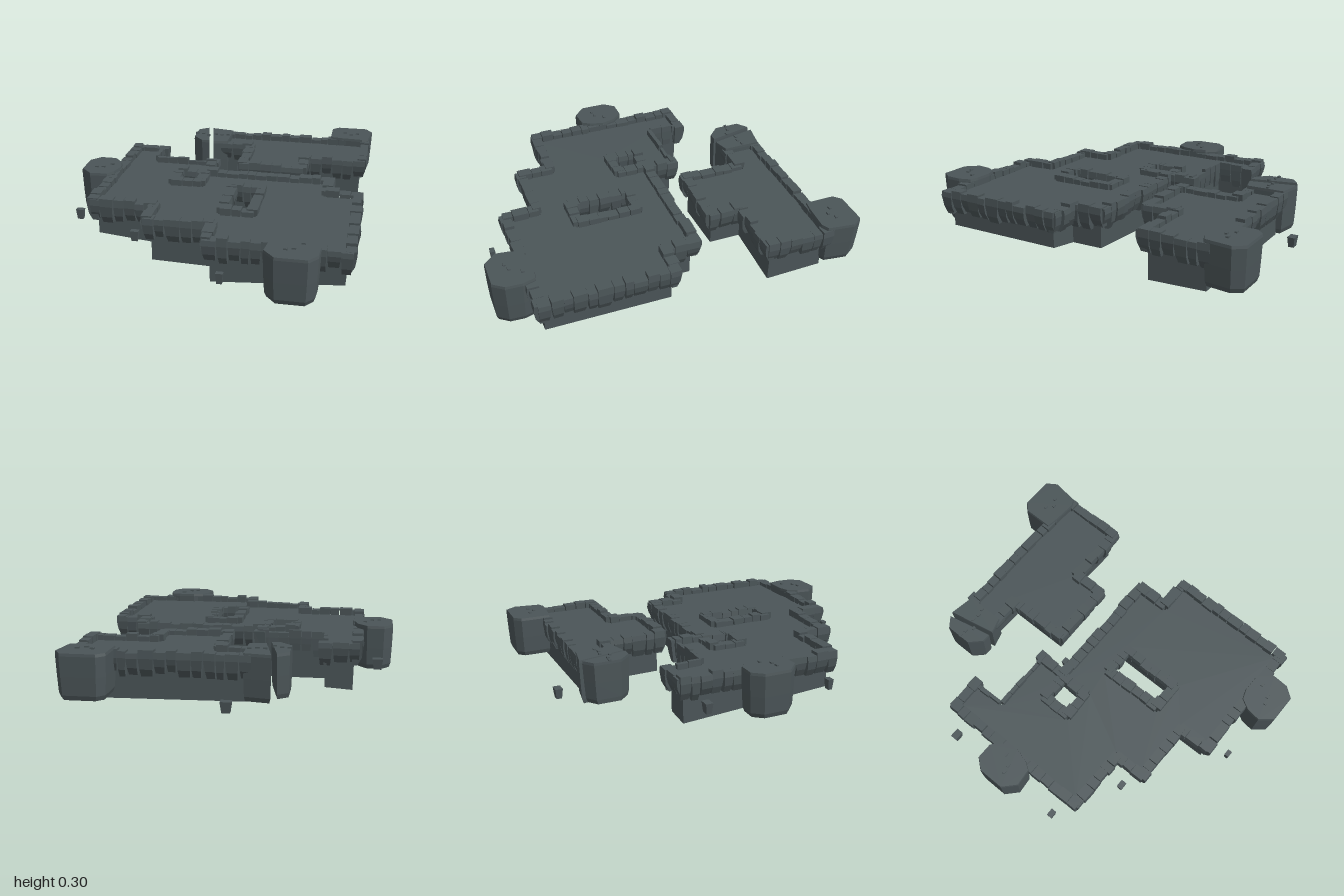
import * as THREE from 'three';

const FLOOR = 0.24;
const stone = new THREE.MeshStandardMaterial({ color: 0x4b5558 });
stone.name = 'slate stone';

// small seeded generator for stone irregularity
let seed = 11;
const rand = (a, b) => {
  seed = (seed * 16807) % 2147483647;
  return a + (b - a) * (seed / 2147483647);
};

const add = (parent, geometry, name) => {
  geometry.computeVertexNormals();
  const mesh = new THREE.Mesh(geometry, stone);
  mesh.name = name;
  parent.add(mesh);
  return mesh;
};

// move every vertex of a geometry by a rule
const warp = (geometry, rule) => {
  const p = geometry.attributes.position;
  const v = new THREE.Vector3();
  for (let i = 0; i < p.count; i++) {
    rule(v.fromBufferAttribute(p, i));
    p.setXYZ(i, v.x, v.y, v.z);
  }
  return geometry;
};

// upright prism from [x, z] points
const prism = (points, holes, depth, steps) => {
  const to2 = (list) => list.map(([x, z]) => new THREE.Vector2(x, -z));
  const shape = new THREE.Shape(to2(points));
  shape.holes = holes.map((h) => new THREE.Path(to2(h)));
  return new THREE.ExtrudeGeometry(shape, { depth, steps, bevelEnabled: false }).rotateX(-Math.PI / 2);
};

// floor slab whose underside height is the third value of each corner
function slab(parent, outline, holes, name) {
  const corners = [outline, ...holes].flat();
  const g = warp(prism(outline, holes, FLOOR, 1), (v) => {
    if (v.y > 0.01) return;
    const c = corners.find(([x, z]) => Math.hypot(x - v.x, z - v.z) < 0.002);
    v.y = c ? c[2] : 0;
  });
  add(parent, g, name);
}

// one hanging edge stone: thick cap, tapering downwards
function edgeStone(parent, width, depth) {
  const top = rand(0.262, 0.282);
  const low = rand(0.13, 0.165);
  const d = depth * rand(0.85, 1.12);
  const back = -rand(0.004, 0.014);
  const s = new THREE.Shape([
    [back, low], [d * 0.45, low], [d * 0.85, low + 0.04], [d, 0.235], [d * 0.93, top], [back, top],
  ].map(([x, y]) => new THREE.Vector2(x, y)));
  const g = new THREE.ExtrudeGeometry(s, { depth: width, bevelEnabled: false });
  g.translate(0, 0, -width / 2);
  const lean = rand(-0.06, 0.06);
  warp(g, (v) => {
    const drop = Math.max(0, 0.235 - v.y);
    v.z = v.z * (1 - drop * 2.6) + drop * lean;
  });
  return add(parent, g, 'edgeStone');
}

// row of edge stones along a closed outline; depths can be set per edge
function rim(parent, outline, depths, name) {
  const group = new THREE.Group();
  group.name = name;
  const n = outline.length;
  const up = new THREE.Vector3(0, 1, 0);
  const dir = (i) => {
    const a = outline[(i + n) % n], b = outline[(i + 1) % n];
    return new THREE.Vector3(b[0] - a[0], 0, b[1] - a[1]);
  };
  for (let i = 0; i < n; i++) {
    const depth = depths[i] ?? 0.05;
    if (!depth) continue;
    const t = dir(i), len = t.length();
    t.normalize();
    const out = new THREE.Vector3(t.z, 0, -t.x);
    // outer corners are overlapped by the end stones
    const convex = (a, b) => a.x * b.z - a.z * b.x > 0;
    const from = convex(dir(i - 1), t) ? -0.035 : 0.01;
    const to = len + (convex(t, dir(i + 1)) ? 0.035 : -0.01);
    const count = Math.max(1, Math.round((to - from) / 0.064));
    const cuts = [from];
    for (let k = 1; k < count; k++) cuts.push(from + ((to - from) * (k + rand(-0.2, 0.2))) / count);
    cuts.push(to);
    for (let k = 0; k < count; k++) {
      const m = edgeStone(group, cuts[k + 1] - cuts[k] - rand(0.001, 0.005), depth);
      const at = (cuts[k] + cuts[k + 1]) / 2;
      const pos = new THREE.Vector3(outline[i][0], 0, outline[i][1]).addScaledVector(t, at);
      m.applyMatrix4(new THREE.Matrix4().makeBasis(out, up, t).setPosition(pos));
      m.rotateY(rand(-0.04, 0.04));
    }
  }
  parent.add(group);
}

// faceted buttress with slight taper and chamfered head
function buttress(parent, points, y0, y1, name) {
  const cx = points.reduce((s, p) => s + p[0], 0) / points.length;
  const cz = points.reduce((s, p) => s + p[1], 0) / points.length;
  const levels = [[y0, 0.86], [y0 + 0.025, 0.93], [y0 + 0.12, 0.97], [y1 - 0.015, 1], [y1, 0.98]];
  const g = warp(prism(points, [], 4, 4), (v) => {
    const [y, s] = levels[Math.round(v.y)];
    v.set(cx + (v.x - cx) * s, y, cz + (v.z - cz) * s);
  });
  add(parent, g, name);
  // small chips on the head
  for (let k = -1; k <= 1; k++) {
    const chip = add(parent, new THREE.BoxGeometry(0.022, 0.012, 0.014), 'headChip');
    chip.position.set(cx + k * 0.04, y1 + 0.002, cz + rand(-0.04, 0.04));
  }
}

const ring = (x0, x1, z0, z1, y) => [[x0, z0, y], [x0, z1, y], [x1, z1, y], [x1, z0, y]];

export function createModel() {
  const model = new THREE.Group();
  model.name = 'ruinedPlatform';

  // large platform with two openings
  const large = [
    [-0.625, -0.435, 0], [-0.475, -0.435, 0.01], [-0.475, -0.255, 0.01], [-0.125, -0.255, 0.01],
    [-0.125, -0.08, 0], [0.595, -0.08, 0.03], [0.595, 0.1, 0.03], [0.77, 0.1, 0.055],
    [0.77, 0.785, 0.06], [0.085, 0.785, 0.01], [0.085, 0.605, 0], [-0.27, 0.605, 0.01],
    [-0.27, 0.425, 0.02], [-0.625, 0.425, 0.055],
  ];
  const openings = [ring(-0.3, -0.1, -0.11, 0.095, 0.005), ring(0.06, 0.265, 0.07, 0.455, 0.01)];
  slab(model, large, openings, 'largeFloor');
  rim(model, large, { 1: 0.012, 2: 0.012 }, 'largeRim');
  openings.forEach((o) => rim(model, o, {}, 'openingRim'));

  // small platform
  const small = [
    [-0.1, -0.79, 0.02], [0.77, -0.79, 0.01], [0.77, -0.47, 0], [0.41, -0.47, 0.03],
    [0.41, -0.29, 0.03], [0.085, -0.29, 0.015], [0.085, -0.645, 0.01], [-0.1, -0.645, 0.02],
  ];
  slab(model, small, [], 'smallFloor');
  rim(model, small, { 7: 0 }, 'smallRim');

  // buttresses
  buttress(model, [[0.42, 0.79], [0.385, 0.85], [0.375, 0.93], [0.435, 1], [0.6, 1], [0.645, 0.94],
    [0.65, 0.85], [0.63, 0.78], [0.58, 0.77], [0.48, 0.77]], 0.035, 0.29, 'frontButtress');
  buttress(model, [[-0.84, -0.08], [-0.79, -0.14], [-0.695, -0.14], [-0.64, -0.08], [-0.62, 0],
    [-0.64, 0.08], [-0.67, 0.125], [-0.77, 0.135], [-0.84, 0.07]], 0.04, 0.29, 'rightButtress');
  buttress(model, [[0.565, -0.96], [0.605, -1], [0.79, -1], [0.83, -0.94], [0.81, -0.79],
    [0.77, -0.77], [0.63, -0.78], [0.565, -0.79]], 0.05, 0.29, 'backButtress');

  // split end of the small platform
  buttress(model, [[-0.235, -0.855], [-0.09, -0.83], [-0.09, -0.61], [-0.18, -0.585]], 0.03, 0.28, 'splitStub');
  buttress(model, [[-0.26, -0.845], [-0.32, -0.8], [-0.32, -0.65], [-0.255, -0.585], [-0.205, -0.585]],
    0.05, 0.285, 'splitShard');

  // loose floating stones: x, y, z, width
  [[-0.02, 0.03, -0.92, 0.058], [-0.755, 0.13, -0.36, 0.056], [-0.755, 0.13, 0.357, 0.044],
    [-0.377, 0.12, 0.555, 0.046], [0.16, 0.105, 0.91, 0.038], [0, 0.1, -0.18, 0.038]].forEach(([x, y, z, w]) => {
    const g = warp(new THREE.BoxGeometry(w, 0.058, w * 0.72).toNonIndexed(), (v) => {
      if (v.y < 0) { v.x *= 0.72; v.z *= 0.72; }
    });
    add(model, g, 'looseStone').position.set(x, y, z);
  });

  return model;
}
